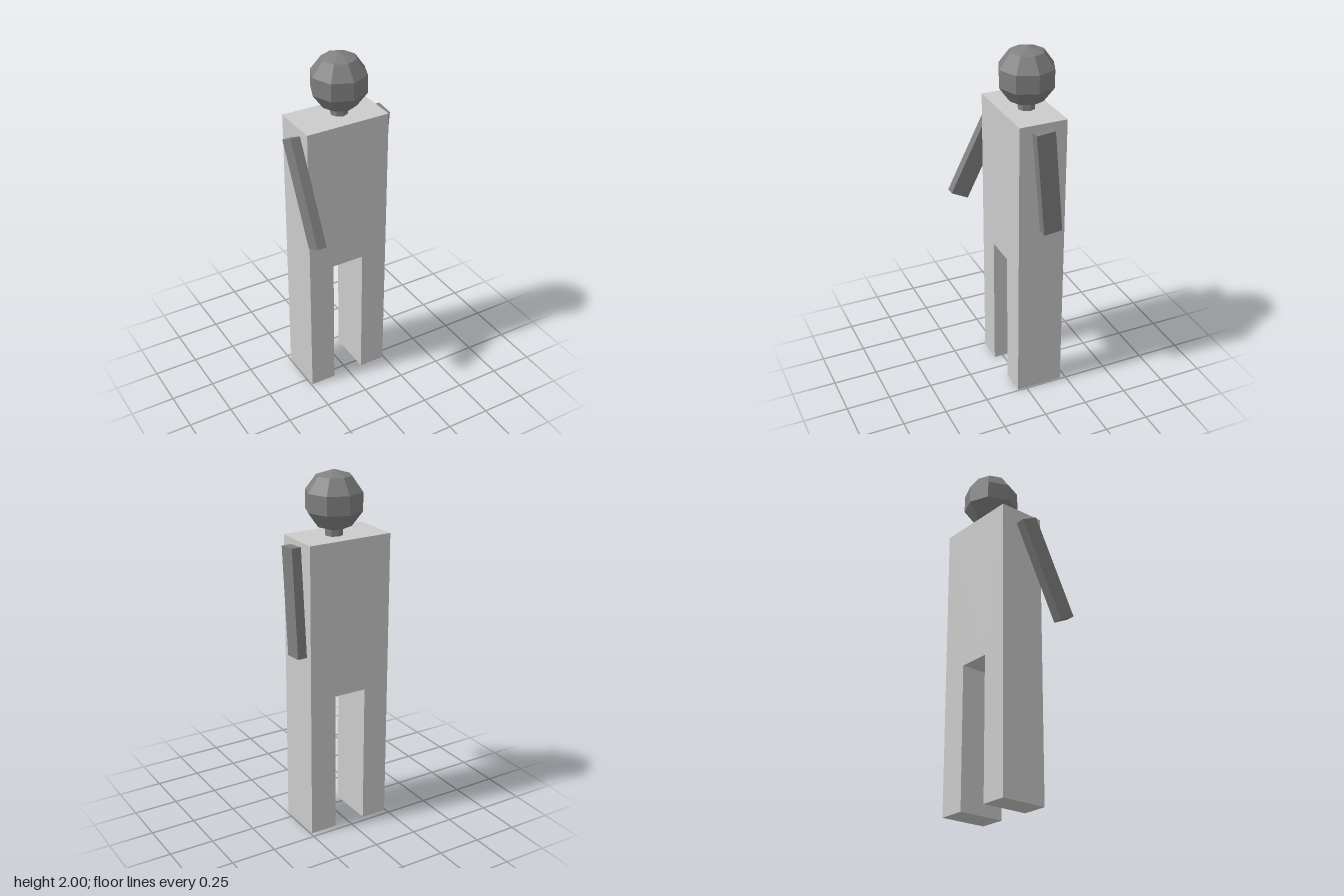
import * as THREE from 'three';

export function createModel() {
  const model = new THREE.Group();
  const light = new THREE.MeshStandardMaterial({ color: 0xcccccc, flatShading: true });
  const dark = new THREE.MeshStandardMaterial({ color: 0x808080, flatShading: true });

  function add(name, geometry, material, x, y, z) {
    const mesh = new THREE.Mesh(geometry, material);
    mesh.name = name;
    mesh.position.set(x, y, z);
    model.add(mesh);
    return mesh;
  }

  // Torso and both legs: one extruded outline with a gap between the legs
  const outline = new THREE.Shape([
    [-0.243, 0], [-0.095, 0], [-0.095, 0.8], [0.09, 0.8],
    [0.09, 0], [0.242, 0], [0.242, 1.657], [-0.243, 1.657],
  ].map(([x, y]) => new THREE.Vector2(x, y)));
  const bodyGeometry = new THREE.ExtrudeGeometry(outline, { depth: 0.269, bevelEnabled: false });
  add('torsoAndLegs', bodyGeometry, light, 0, 0, -0.217);

  // Neck and faceted head, slightly off centre
  add('neck', new THREE.CylinderGeometry(0.048, 0.048, 0.08, 8), dark, 0.023, 1.68, -0.088);
  add('head', new THREE.SphereGeometry(0.161, 8, 5), dark, 0.023, 1.839, -0.088);

  // Arms: the right swings forward, the left slightly back
  const armGeometry = new THREE.BoxGeometry(0.054, 0.59, 0.106);
  add('rightArm', armGeometry, dark, -0.27, 1.331, 0.06).rotation.x = -0.466;
  add('leftArm', armGeometry, dark, 0.268, 1.332, -0.098).rotation.x = 0.088;

  return model;
}
